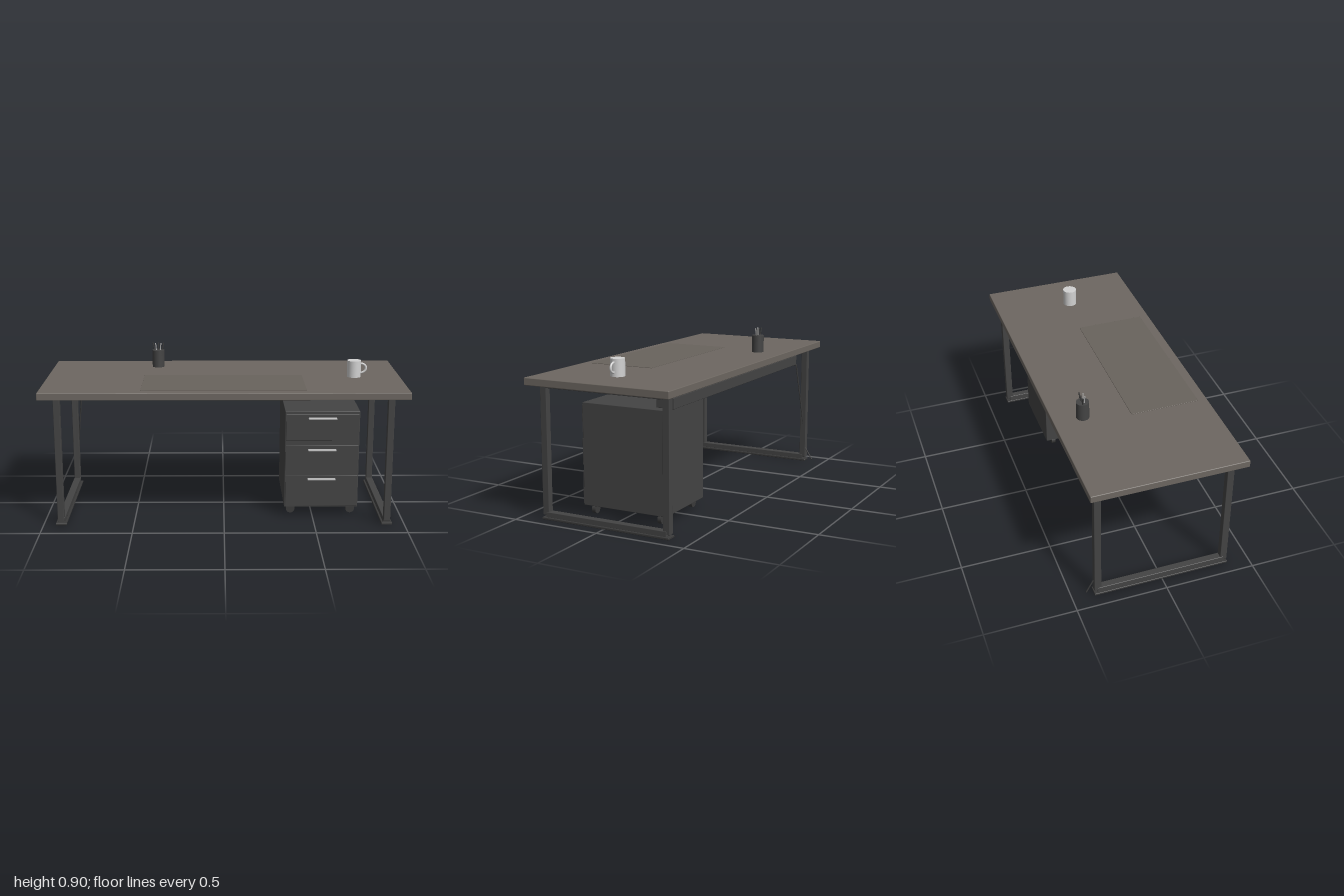
import * as THREE from 'three';
import { RoundedBoxGeometry } from 'three/addons/geometries/RoundedBoxGeometry.js';

const paint = (name, color) => {
  const m = new THREE.MeshStandardMaterial({ color });
  m.name = name;
  return m;
};

export function createModel() {
  const wood = paint('greyBrownWood', 0x6d6761);
  const mat = paint('deskMatGrey', 0x69635d);
  const metal = paint('charcoalMetal', 0x444444);
  const dark = paint('darkRubber', 0x3a3a3a);
  const steel = paint('lightSteel', 0xb4b4b4);
  const ceramic = paint('whiteCeramic', 0xd2d2d2);

  const root = new THREE.Group();
  root.name = 'desk';
  const group = (name, parent = root) => {
    const g = new THREE.Group();
    g.name = name;
    parent.add(g);
    return g;
  };
  const add = (name, geo, material, parent = root) => {
    const m = new THREE.Mesh(geo, material);
    m.name = name;
    parent.add(m);
    return m;
  };
  // Softened box given by its extents on each axis
  const box = (name, [x0, x1], [y0, y1], [z0, z1], material, parent = root, r = 0.003) => {
    const geo = new RoundedBoxGeometry(x1 - x0, y1 - y0, z1 - z0, 2, r);
    const m = add(name, geo, material, parent);
    m.position.set((x0 + x1) / 2, (y0 + y1) / 2, (z0 + z1) / 2);
    return m;
  };
  // Round rod between two points
  const rod = (name, a, b, r, material, parent) => {
    const p = new THREE.Vector3(...a), q = new THREE.Vector3(...b);
    const m = add(name, new THREE.CylinderGeometry(r, r, p.distanceTo(q), 10), material, parent);
    m.position.copy(p).lerp(q, 0.5);
    m.quaternion.setFromUnitVectors(new THREE.Vector3(0, 1, 0), q.sub(p).normalize());
    return m;
  };

  // Worktop and thin desk mat
  box('desktop', [-1, 1], [0.722, 0.762], [-0.421, 0.421], wood, root, 0.004);
  box('deskMat', [-0.45, 0.445], [0.761, 0.765], [-0.01, 0.37], mat, root, 0.001);

  // Two rectangular loop legs with foot plates
  for (const s of [-1, 1]) {
    const leg = group(s > 0 ? 'leftLegFrame' : 'rightLegFrame');
    const x = s * 0.902, bar = [x - 0.018, x + 0.018];
    box('frontPost', bar, [0.022, 0.722], [0.342, 0.38], metal, leg);
    box('backPost', bar, [0.022, 0.722], [-0.378, -0.34], metal, leg);
    box('topRail', bar, [0.701, 0.723], [-0.36, 0.36], metal, leg);
    box('bottomRail', [x - 0.02, x + 0.02], [0.01, 0.04], [-0.36, 0.36], metal, leg);
    box('footPlate', [x - 0.03, x + 0.03], [0, 0.012], [-0.38, 0.38], dark, leg);
  }

  // Cable tray, power strip and cable running to the floor
  box('cableTray', [-0.8, 0.8], [0.632, 0.69], [-0.34, -0.24], metal);
  box('powerStrip', [-0.553, -0.257], [0.688, 0.712], [-0.335, -0.268], dark, root, 0.009);
  const cable = group('powerCable');
  const path = [[-0.78, 0.636, -0.3], [-0.85, 0.62, -0.32], [-0.886, 0.28, -0.355],
    [-0.895, 0.085, -0.374], [-0.9, 0.012, -0.417]];
  for (let i = 0; i < path.length - 1; i++) {
    rod('cableSegment', path[i], path[i + 1], 0.004, dark, cable);
    const joint = add('cableBend', new THREE.SphereGeometry(0.004, 10, 8), dark, cable);
    joint.position.set(...path[i + 1]);
  }

  // Drawer cabinet with three fronts, pulls and casters
  const cabinet = group('drawerCabinet');
  box('cabinetBody', [0.34, 0.755], [0.053, 0.61], [-0.268, 0.23], metal, cabinet);
  const drawers = [[0.447, 0.595, 0.573], [0.27, 0.416, 0.392], [0.06, 0.24, 0.222]];
  for (const [y0, y1, yh] of drawers) {
    box('drawerFront', [0.345, 0.75], [y0, y1], [0.226, 0.237], metal, cabinet, 0.002);
    box('drawerPull', [0.468, 0.626], [yh - 0.005, yh + 0.005], [0.234, 0.256], steel, cabinet, 0.004);
  }
  for (const x of [0.378, 0.718]) for (const z of [-0.22, 0.18]) {
    const wheel = add('casterWheel', new THREE.CylinderGeometry(0.025, 0.025, 0.022, 24), dark, cabinet);
    wheel.rotation.x = Math.PI / 2;
    wheel.position.set(x, 0.03, z);
  }

  // Pen cup with splayed pens
  const cup = group('penCup');
  cup.position.set(-0.384, 0.762, -0.26);
  add('cupBody', new THREE.CylinderGeometry(0.035, 0.035, 0.1, 32), metal, cup).position.y = 0.049;
  for (let i = 0; i < 5; i++) {
    const t = (i - 2) / 2, z = (i % 2 ? 0.006 : -0.006);
    rod('pen', [t * 0.016, 0.06, z * 0.5], [t * 0.031, 0.14, z * 1.4], 0.0032, i % 2 ? steel : dark, cup);
  }

  // Mug with side handle
  const mug = group('mug');
  mug.position.set(0.738, 0.762, 0.021);
  add('mugBody', new THREE.CylinderGeometry(0.039, 0.039, 0.094, 32), ceramic, mug).position.y = 0.047;
  const handle = add('mugHandle', new THREE.TorusGeometry(0.026, 0.006, 10, 24, Math.PI), ceramic, mug);
  handle.rotation.z = -Math.PI / 2;
  handle.scale.y = 1.15;
  handle.position.set(0.038, 0.049, 0);

  return root;
}
